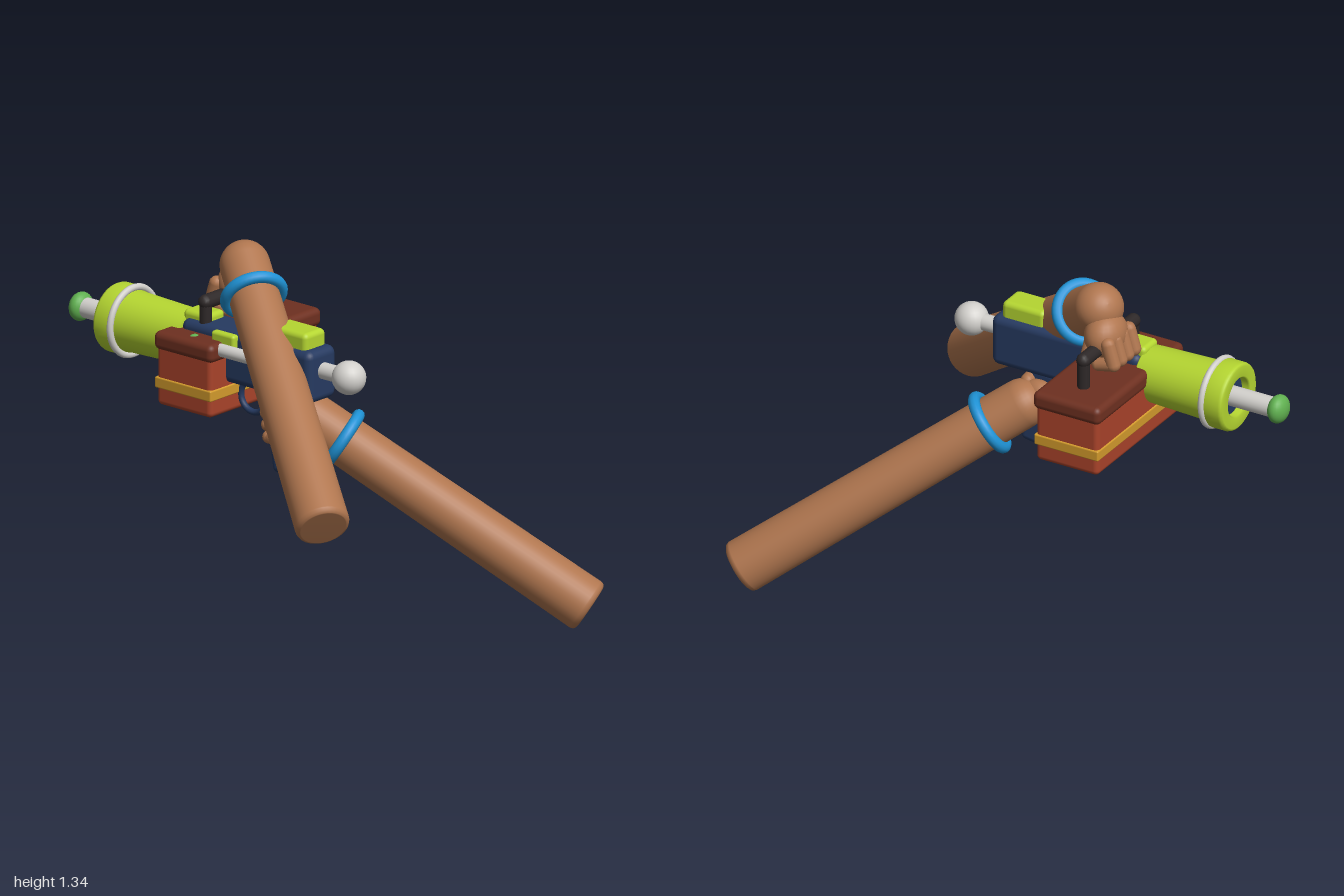
import * as THREE from 'three';
import { RoundedBoxGeometry } from 'three/addons/geometries/RoundedBoxGeometry.js';

const mat = (name, color) => {
  const m = new THREE.MeshStandardMaterial({ color });
  m.name = name;
  return m;
};
const V = (x, y, z) => new THREE.Vector3(x, y, z);
const UP = V(0, 1, 0);

export function createModel() {
  const skin = mat('skin', 0xb0764f), blue = mat('blue', 0x1f93d6), navy = mat('navy', 0x263a61),
    lime = mat('lime', 0xb5d631), red = mat('red', 0xa9432a), maroon = mat('maroon', 0x6e3020),
    gold = mat('gold', 0xd39b2c), grey = mat('light grey', 0xd2d0cc), black = mat('black', 0x2e2828),
    green = mat('green', 0x60b050);

  const root = new THREE.Group();
  root.name = 'armsWithToyBlasterAndToolbox';
  const group = (name) => {
    const g = new THREE.Group();
    g.name = name;
    root.add(g);
    return g;
  };
  const add = (parent, name, geo, material, p = V(0, 0, 0)) => {
    const m = new THREE.Mesh(geo, material);
    m.name = name;
    m.position.copy(p);
    parent.add(m);
    return m;
  };
  const box = (parent, name, w, h, d, r, material, p) =>
    add(parent, name, new RoundedBoxGeometry(w, h, d, 3, r), material, p);
  // Rod or capsule running from a to b
  const rod = (parent, name, a, b, r, material, round = false) => {
    const dir = b.clone().sub(a), len = dir.length();
    const geo = round ? new THREE.CapsuleGeometry(r, len, 5, 12) : new THREE.CylinderGeometry(r, r, len, 24);
    const m = add(parent, name, geo, material, a.clone().add(b).multiplyScalar(0.5));
    m.quaternion.setFromUnitVectors(UP, dir.normalize());
    return m;
  };
  const blob = (parent, name, sx, sy, sz, material, p) => {
    const m = add(parent, name, new THREE.SphereGeometry(1, 24, 16), material, p);
    m.scale.set(sx, sy, sz);
    return m;
  };

  // Arms: tapered forearm with a round wrist, plus a bracelet
  function arm(name, a, b) {
    const g = group(name);
    const dir = b.clone().sub(a), len = dir.length();
    dir.normalize();
    const pts = [[0, 0], [0.084, 0], [0.088, 0.001], [0.097, 0.007], [0.101, 0.018], [0.101, 0.022], [0.092, len]]
      .map(([r, y]) => new THREE.Vector2(r, y));
    for (let i = 1; i <= 8; i++) {
      const t = i / 8 * Math.PI / 2;
      pts.push(new THREE.Vector2(0.092 * Math.cos(t), len + 0.092 * Math.sin(t)));
    }
    const fore = add(g, 'forearm', new THREE.LatheGeometry(pts, 36), skin, a);
    fore.quaternion.setFromUnitVectors(UP, dir);
    const band = add(g, 'bracelet', new THREE.TorusGeometry(0.104, 0.022, 12, 40), blue, a.clone().lerp(b, 0.885));
    band.quaternion.setFromUnitVectors(V(0, 0, 1), dir);
    return g;
  }
  const rightArm = arm('rightArm', V(-0.54, 0.58, 0.59), V(0.012, 1.255, -0.275));
  const leftArm = arm('leftArm', V(0.53, 0.087, 0.93), V(-0.01, 0.755, 0.06));

  // Right hand closed over the toolbox handle
  blob(rightArm, 'palm', 0.095, 0.085, 0.075, skin, V(0.045, 1.175, -0.325));
  for (let i = 0; i < 4; i++) {
    const x = -0.03 + i * 0.048;
    rod(rightArm, 'finger', V(x, 1.175, -0.375), V(x, 1.1, -0.398), 0.027, skin, true);
    rod(rightArm, 'fingertip', V(x, 1.1, -0.398), V(x, 1.085, -0.335), 0.025, skin, true);
  }
  rod(rightArm, 'thumb', V(0.08, 1.17, -0.29), V(0.115, 1.1, -0.29), 0.028, skin, true);

  // Left hand closed around the blaster grip
  blob(leftArm, 'palm', 0.055, 0.085, 0.085, skin, V(-0.04, 0.765, 0.01));
  for (let i = 0; i < 4; i++) {
    const y = 0.825 - i * 0.045, z = -0.05 + i * 0.006;
    rod(leftArm, 'finger', V(-0.045, y, z), V(-0.13, y, z), 0.026, skin, true);
    rod(leftArm, 'fingertip', V(-0.13, y, z), V(-0.152, y, z + 0.07), 0.024, skin, true);
  }
  rod(leftArm, 'thumb', V(-0.05, 0.83, 0.06), V(-0.13, 0.845, 0.055), 0.028, skin, true);

  // Blaster body
  const cx = -0.103, cy = 0.975;
  const gun = group('toyBlaster');
  box(gun, 'body', 0.155, 0.2, 0.625, 0.03, navy, V(cx, 0.968, -0.107));
  box(gun, 'topRail', 0.115, 0.085, 0.18, 0.02, lime, V(cx, 1.085, 0.08));
  box(gun, 'rearRail', 0.1, 0.05, 0.12, 0.018, lime, V(cx, 1.07, -0.37));
  const grip = box(gun, 'grip', 0.09, 0.32, 0.115, 0.025, navy, V(cx, 0.725, 0.025));
  grip.rotation.x = -0.15;
  const guard = add(gun, 'triggerGuard', new THREE.TorusGeometry(0.06, 0.012, 10, 32), navy, V(cx, 0.815, -0.132));
  guard.rotation.y = Math.PI / 2;
  rod(gun, 'trigger', V(cx, 0.88, -0.11), V(cx, 0.82, -0.1), 0.012, lime, true);
  rod(gun, 'plungerRod', V(cx, 0.987, 0.15), V(cx, 0.987, 0.3), 0.031, grey);
  blob(gun, 'plungerBall', 0.063, 0.063, 0.063, grey, V(cx, 0.987, 0.328));

  // Hollow barrel with a wide mouth
  const profile = [[0, 0], [0.098, 0], [0.104, 0.006], [0.113, 0.29], [0.124, 0.3], [0.13, 0.315], [0.13, 0.37],
    [0.126, 0.38], [0.118, 0.385], [0.08, 0.385], [0.074, 0.379], [0.072, 0.3]].map(([r, y]) => new THREE.Vector2(r, y));
  add(gun, 'barrel', new THREE.LatheGeometry(profile, 40), lime, V(cx, cy, -0.412)).rotation.x = -Math.PI / 2;
  rod(gun, 'barrelCore', V(cx, cy, -0.5), V(cx, cy, -0.765), 0.0735, navy);
  add(gun, 'barrelRing', new THREE.TorusGeometry(0.126, 0.013, 10, 40), grey, V(cx, cy, -0.712));
  rod(gun, 'dartShaft', V(cx, cy, -0.7), V(cx, cy, -0.95), 0.038, grey);
  blob(gun, 'dartTip', 0.054, 0.054, 0.037, green, V(cx, cy, -0.963));

  // Spare dart clipped to the side
  const sx = -0.213;
  rod(gun, 'spareDart', V(sx, 1.005, -0.04), V(sx, 1.005, -0.31), 0.024, grey);
  blob(gun, 'spareDartTip', 0.033, 0.033, 0.025, green, V(sx, 1.005, -0.32));
  box(gun, 'dartClip', 0.035, 0.07, 0.11, 0.012, lime, V(-0.187, 1.03, -0.195));

  // Toolbox
  const bx = 0.031, bz = -0.327;
  const chest = group('toolbox');
  box(chest, 'case', 0.592, 0.235, 0.262, 0.02, red, V(bx, 0.87, bz));
  box(chest, 'lid', 0.612, 0.07, 0.283, 0.024, maroon, V(bx, 0.998, bz));
  box(chest, 'stripe', 0.602, 0.042, 0.27, 0.006, gold, V(bx, 0.839, bz));
  for (const s of [-1, 1]) {
    box(chest, 'latch', 0.066, 0.09, 0.02, 0.005, grey, V(bx + s * 0.166, 0.945, -0.188));
    rod(chest, 'handlePost', V(bx + s * 0.175, 1.02, bz), V(bx + s * 0.175, 1.142, bz), 0.023, black, true);
  }
  rod(chest, 'handleBar', V(bx - 0.175, 1.142, bz), V(bx + 0.175, 1.142, bz), 0.027, black, true);

  return root;
}
